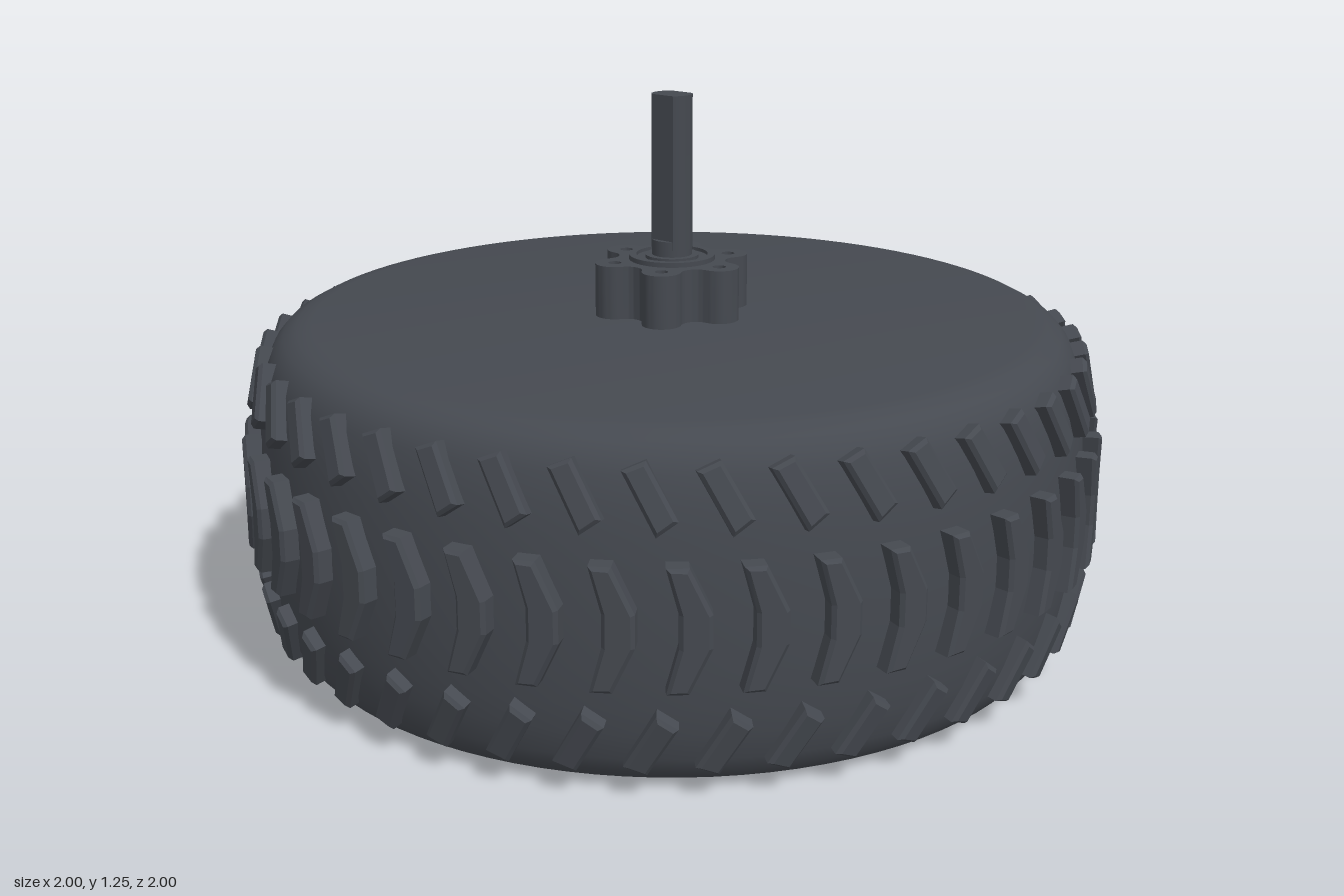
import * as THREE from 'three';
import { toCreasedNormals } from 'three/addons/utils/BufferGeometryUtils.js';

const rubber = new THREE.MeshStandardMaterial({ color: 0x454950 });
const metal = new THREE.MeshStandardMaterial({ color: 0x454950 });

function lathe(name, points, material, segments = 96) {
  const profile = points.map(([r, y]) => new THREE.Vector2(r, y));
  const mesh = new THREE.Mesh(toCreasedNormals(new THREE.LatheGeometry(profile, segments), 0.5), material);
  mesh.name = name;
  return mesh;
}

// Extrudes a plan shape upwards from y0 to y1
function prism(name, shape, y0, y1, material) {
  const geo = new THREE.ExtrudeGeometry(shape, { depth: y1 - y0, bevelEnabled: false, curveSegments: 10 });
  geo.rotateX(-Math.PI / 2);
  geo.translate(0, y0, 0);
  const mesh = new THREE.Mesh(toCreasedNormals(geo, 0.6), material);
  mesh.name = name;
  return mesh;
}

// Bevelled tread block with its outer face at z = 0, leaning by tilt
function treadGeometry(points, tilt) {
  const shape = new THREE.Shape(points.map(([x, y]) => new THREE.Vector2(x, y)));
  const geo = new THREE.ExtrudeGeometry(shape, {
    depth: 0.065, bevelThickness: 0.008, bevelSize: 0.008, bevelOffset: -0.008, bevelSegments: 1,
  });
  geo.translate(0, 0, -0.073);
  geo.rotateX(tilt);
  return geo;
}

function treadRow(name, geo, radius, y, phase, count = 42) {
  const row = new THREE.Group();
  row.name = name;
  for (let i = 0; i < count; i++) {
    const a = phase + (i / count) * Math.PI * 2;
    const block = new THREE.Mesh(geo, rubber);
    block.name = 'treadBlock';
    block.position.set(radius * Math.sin(a), y, radius * Math.cos(a));
    block.rotation.y = a;
    row.add(block);
  }
  return row;
}

// Six-lobed outline of tangent arcs, with a bolt hole in each lobe
function hubShape() {
  const shape = new THREE.Shape();
  const deg = Math.PI / 180;
  for (let i = 0; i < 6; i++) {
    const a = i * 60 * deg, v = a + 30 * deg;
    const x = 0.14 * Math.cos(a), y = 0.14 * Math.sin(a);
    shape.absarc(x, y, 0.045, a - 91 * deg, a + 91 * deg, false);
    shape.absarc(0.16 * Math.cos(v), 0.16 * Math.sin(v), 0.035, a - 89 * deg, a - 211 * deg, true);
    const hole = new THREE.Path();
    hole.absarc(x, y, 0.015, 0, Math.PI * 2, true);
    shape.holes.push(hole);
  }
  return shape;
}

// Round bar with two flats facing front and back
function flattedShape(r, flat) {
  const a = Math.asin(flat / r);
  const shape = new THREE.Shape();
  shape.absarc(0, 0, r, -a, a, false);
  shape.absarc(0, 0, r, Math.PI - a, Math.PI + a, false);
  shape.closePath();
  return shape;
}

export function createModel() {
  const model = new THREE.Group();
  model.name = 'wheel';

  // Tyre body: dished underside with two stepped bosses, flat top
  model.add(lathe('tyre', [
    [0, 0.03], [0.11, 0.03], [0.11, 0.055], [0.28, 0.055], [0.28, 0.075], [0.40, 0.075],
    [0.44, 0.055], [0.48, 0.025], [0.52, 0.006], [0.56, 0], [0.83, 0],
    [0.865, 0.006], [0.895, 0.022], [0.917, 0.047], [0.932, 0.08], [0.945, 0.14],
    [0.953, 0.2], [0.958, 0.28], [0.96, 0.375], [0.958, 0.47], [0.953, 0.55],
    [0.945, 0.61], [0.932, 0.67], [0.917, 0.703], [0.895, 0.728], [0.865, 0.744],
    [0.83, 0.75], [0, 0.75],
  ], rubber));

  // Centre chevrons and mirrored slanted shoulder blocks
  const chevron = [
    [-0.045, -0.13], [0, -0.13], [0.045, -0.035], [0.045, 0.035],
    [0, 0.13], [-0.045, 0.13], [-0.02, 0.035], [-0.02, -0.035],
  ];
  const slant = [[0.012, -0.073], [0.055, -0.042], [-0.008, 0.073], [-0.055, 0.053]];
  const mirrored = slant.map(([x, y]) => [x, -y]).reverse();
  model.add(treadRow('centreTread', treadGeometry(chevron, 0), 0.998, 0.38, -0.02));
  model.add(treadRow('upperTread', treadGeometry(slant, -0.22), 0.969, 0.638, -0.097));
  model.add(treadRow('lowerTread', treadGeometry(mirrored, 0.22), 0.969, 0.124, -0.097));

  // Hub, grooved collar and axle
  model.add(prism('hub', hubShape(), 0.745, 0.873, metal));
  model.add(lathe('collar', [
    [0.1, 0.86], [0.1, 0.884], [0.083, 0.884], [0.083, 0.876], [0.062, 0.876], [0.062, 0.884], [0, 0.884],
  ], metal, 48));
  const axleBase = new THREE.Mesh(new THREE.CylinderGeometry(0.047, 0.047, 0.17, 32), metal);
  axleBase.name = 'axleBase';
  axleBase.position.y = 0.835;
  model.add(axleBase);
  model.add(prism('axle', flattedShape(0.047, 0.035), 0.9, 1.255, metal));

  return model;
}
